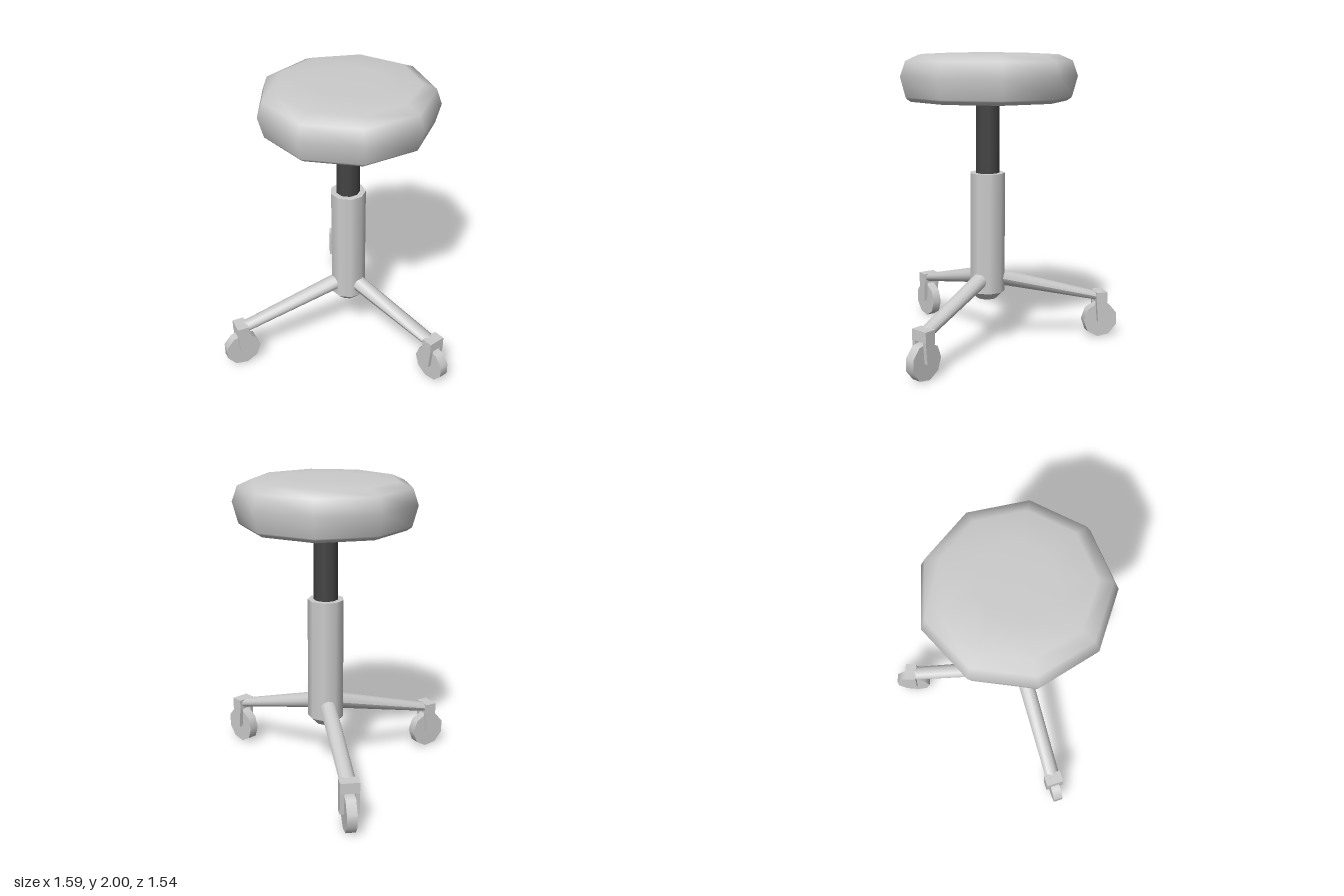
import * as THREE from 'three';

const SIDES = 9;
const AXIS = { x: -0.09, z: -0.09 };
const grey = new THREE.MeshStandardMaterial({ color: 0xcccccc });
const dark = new THREE.MeshStandardMaterial({ color: 0x444444 });

function part(name, geometry, material = grey) {
  const mesh = new THREE.Mesh(geometry, material);
  mesh.name = name;
  return mesh;
}

// Turned shape with one corner on +x
function turned(name, profile, material) {
  const points = profile.map(([r, y]) => new THREE.Vector2(r, y));
  return part(name, new THREE.LatheGeometry(points, SIDES, Math.PI / 2), material);
}

// Round at the hub, flattening into an oval at the caster
function legGeometry(start, end) {
  const length = start.distanceTo(end);
  const geo = new THREE.CylinderGeometry(0.05, 0.055, length, 12, 1);
  const pos = geo.attributes.position;
  for (let i = 0; i < pos.count; i++) {
    if (pos.getY(i) > 0) pos.setX(i, pos.getX(i) * 0.62);
  }
  geo.computeVertexNormals();
  geo.rotateZ(Math.atan2(end.y - start.y, end.x - start.x) - Math.PI / 2);
  const mid = start.clone().add(end).multiplyScalar(0.5);
  return geo.translate(mid.x, mid.y, 0);
}

// Tapered fork side plate
function prongGeometry() {
  const shape = new THREE.Shape();
  shape.moveTo(-0.027, 0.12);
  shape.lineTo(0.027, 0.12);
  shape.lineTo(0.04, 0.27);
  shape.lineTo(-0.04, 0.27);
  shape.closePath();
  return new THREE.ExtrudeGeometry(shape, { depth: 0.026, bevelEnabled: false });
}

// Caster rolling along its own x
function createCaster() {
  const caster = new THREE.Group();
  caster.name = 'caster';
  const block = part('casterBlock', new THREE.BoxGeometry(0.08, 0.07, 0.12));
  block.position.y = 0.295;
  caster.add(block);
  for (const z of [0.034, -0.06]) {
    const prong = part('forkProng', prongGeometry());
    prong.position.z = z;
    caster.add(prong);
  }
  const tyre = new THREE.CylinderGeometry(0.125, 0.125, 0.064, SIDES, 1, false, -Math.PI / 2);
  const wheel = part('wheel', tyre.rotateX(Math.PI / 2));
  wheel.position.set(0.003, 0.124, 0);
  caster.add(wheel);
  return caster;
}

export function createModel() {
  const model = new THREE.Group();
  model.name = 'stool';

  const stand = new THREE.Group();
  stand.name = 'seatAndColumn';
  stand.position.set(AXIS.x, 0, AXIS.z);
  model.add(stand);

  // Padded seat with a flat underside
  stand.add(turned('seatCushion', [
    [0.52, 1.69], [0.55, 1.71], [0.555, 1.72], [0.59, 1.85],
    [0.555, 1.95], [0.465, 1.99], [0.25, 2.0], [0, 2.0],
  ]));
  stand.add(turned('seatUnderside', [[0, 1.69], [0.52, 1.69]]));

  // Gas lift and column
  stand.add(turned('liftShaft', [[0.08, 1.15], [0.08, 1.7]], dark));
  stand.add(turned('column', [[0.12, 0.395], [0.12, 1.21]]));
  stand.add(turned('columnTop', [[0.12, 1.21], [0, 1.21]]));
  stand.add(turned('columnFoot', [[0.07, 0.345], [0.12, 0.395]]));
  stand.add(turned('columnBottom', [[0, 0.345], [0.07, 0.345]]));

  // Three legs, each with a swivelled caster
  const feet = [
    { x: 0.665, z: -0.09, swivel: 10 },
    { x: -0.69, z: -0.663, swivel: 225 },
    { x: -0.447, z: 0.645, swivel: 115 },
  ];
  for (const { x, z, swivel } of feet) {
    const dx = x - AXIS.x;
    const dz = z - AXIS.z;
    const reach = Math.hypot(dx, dz);
    const leg = part('leg', legGeometry(
      new THREE.Vector2(0.08, 0.485), new THREE.Vector2(reach - 0.02, 0.297)));
    leg.rotation.y = -Math.atan2(dz, dx);
    stand.add(leg);

    const caster = createCaster();
    caster.position.set(x, 0, z);
    caster.rotation.y = -THREE.MathUtils.degToRad(swivel);
    model.add(caster);
  }
  return model;
}
